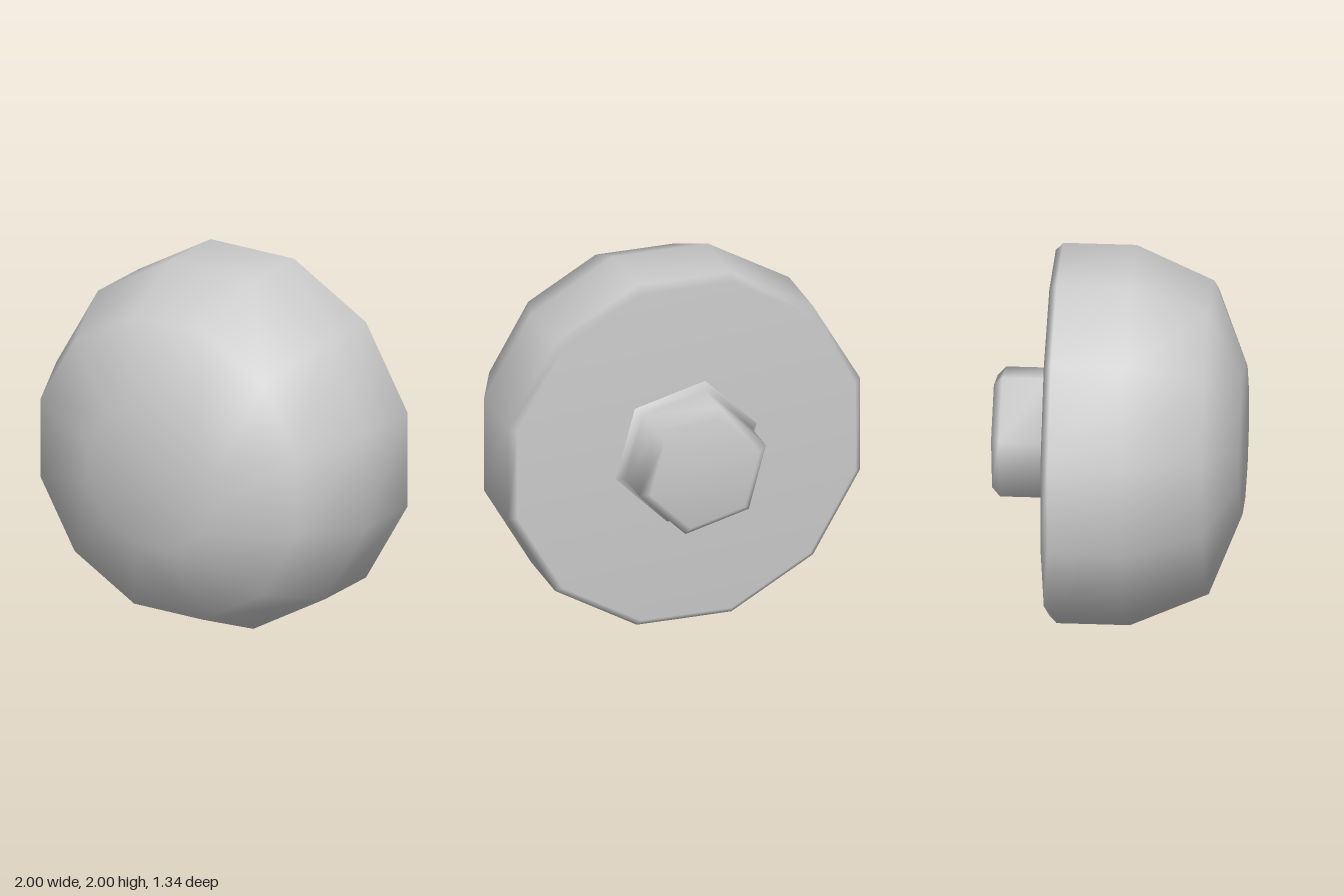
import * as THREE from 'three';
import { mergeVertices } from 'three/addons/utils/BufferGeometryUtils.js';

const material = new THREE.MeshStandardMaterial({ color: 0xcccccc });
const TILT = Math.PI / 12; // corners sit 15 degrees off the axes

// Turn a profile of [radius, z] pairs (back to front) around the z axis,
// with one shared, smooth, area-weighted normal per corner.
function turned(name, sides, profile) {
  const points = profile.map(([r, z]) => new THREE.Vector2(r / Math.cos(TILT), z));
  let geometry = new THREE.LatheGeometry(points, sides, TILT);
  geometry.deleteAttribute('uv');
  geometry.deleteAttribute('normal');
  geometry = mergeVertices(geometry, 1e-4);
  geometry.rotateX(Math.PI / 2);
  geometry.computeVertexNormals();
  const mesh = new THREE.Mesh(geometry, material);
  mesh.name = name;
  mesh.position.y = 1;
  return mesh;
}

export function createModel() {
  const group = new THREE.Group();
  group.name = 'knob';

  // Twelve-sided head: flat back with a small chamfer, broad bevelled front
  group.add(turned('head', 12, [
    [0, -0.36], [0.96, -0.36], [1, -0.32],
    [1, 0.075], [0.825, 0.495], [0.4, 0.67], [0, 0.67],
  ]));

  // Six-sided stem: chamfered tip, flared where it meets the head
  group.add(turned('stem', 6, [
    [0, -0.67], [0.31, -0.67], [0.36, -0.625],
    [0.36, -0.4], [0.4, -0.36],
  ]));

  return group;
}
